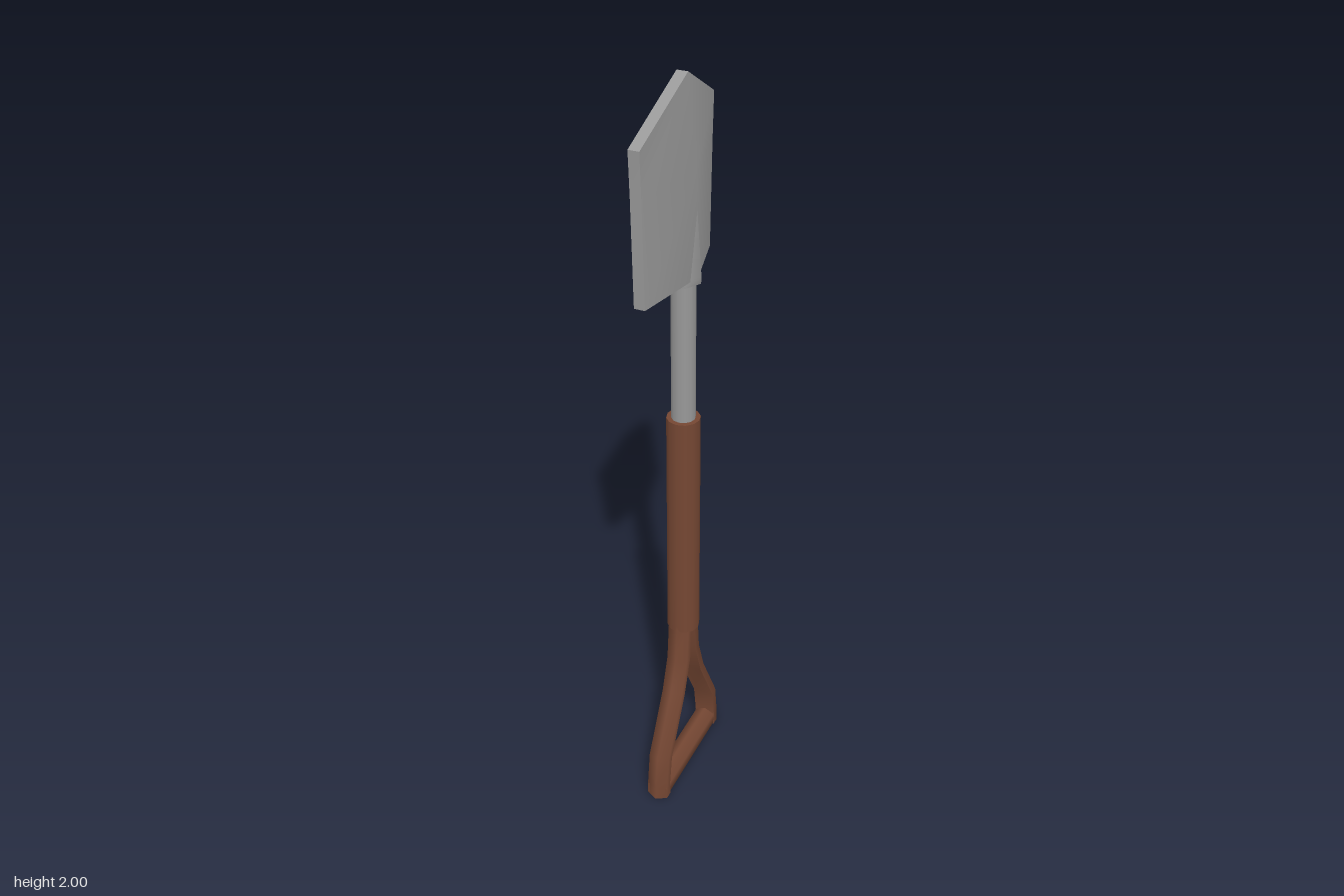
import * as THREE from 'three';
import { toCreasedNormals } from 'three/addons/utils/BufferGeometryUtils.js';

const steel = new THREE.MeshStandardMaterial({ color: 0x989898 });
const wood = new THREE.MeshStandardMaterial({ color: 0x754733 });

// Solid through rings listed bottom to top, each counterclockwise from above
function loft(rings, crease) {
  const pos = [];
  const tri = (...pts) => pts.forEach((p) => pos.push(...p));
  const n = rings[0].length;
  for (let r = 0; r < rings.length - 1; r++) {
    for (let i = 0; i < n; i++) {
      const j = (i + 1) % n, lo = rings[r], hi = rings[r + 1];
      tri(lo[i], lo[j], hi[j]);
      tri(lo[i], hi[j], hi[i]);
    }
  }
  const bottom = rings[0], top = rings[rings.length - 1];
  for (let i = 1; i < n - 1; i++) {
    tri(top[0], top[i], top[i + 1]);
    tri(bottom[0], bottom[i + 1], bottom[i]);
  }
  const g = new THREE.BufferGeometry();
  g.setAttribute('position', new THREE.Float32BufferAttribute(pos, 3));
  return toCreasedNormals(g, crease);
}

export function createModel() {
  const group = new THREE.Group();
  const add = (name, geometry, material) => {
    const mesh = new THREE.Mesh(geometry, material);
    mesh.name = name;
    group.add(mesh);
    return mesh;
  };
  const rod = (name, radius, y0, y1, material) => {
    const mesh = add(name, new THREE.CylinderGeometry(radius, radius, y1 - y0, 12), material);
    mesh.position.y = (y0 + y1) / 2;
  };

  // Folded blade: [ridge y, side y, ridge x, half width]
  const t = 0.027, sideX = -0.012;
  add('blade', loft([
    [1.523, 1.513, 0.037, 0.178],
    [1.78, 1.78, 0.032, 0.187],
    [2.0, 1.89, 0.011, 0.193],
  ].map(([ry, sy, rx, w]) => [
    [rx - t, ry, 0], [sideX - t, sy, w], [sideX, sy, w],
    [rx, ry, 0], [sideX, sy, -w], [sideX - t, sy, -w],
  ]), 0.7), steel);

  // Socket tapering from the shaft into the ridge of the blade
  const socketRing = (y, r, cx) => Array.from({ length: 6 }, (_, i) => {
    const a = (i * Math.PI) / 3;
    return [cx + r * Math.cos(a), y, -r * Math.sin(a)];
  });
  add('socket', loft([
    socketRing(1.508, 0.044, 0), socketRing(1.525, 0.045, 0), socketRing(1.7, 0.008, 0.025),
  ], 1.1), steel);

  // Straight shaft and wooden sleeve
  rod('shaft', 0.03, 1.1, 1.52, steel);
  rod('handle', 0.042, 0.495, 1.14, wood);

  // Forked arms: [inner z, inner y, outer z, outer y]
  const armPath = [
    [0.148, 0.012, 0.185, 0.012],
    [0.15, 0.05, 0.183, 0.05],
    [0.137, 0.135, 0.17, 0.147],
    [0.053, 0.295, 0.083, 0.312],
    [0.018, 0.395, 0.053, 0.4],
    [0.007, 0.53, 0.04, 0.53],
  ];
  for (const s of [1, -1]) {
    const rings = armPath.map(([iz, iy, oz, oy]) => {
      const mz = iz + (oz - iz) * 0.6, my = iy + (oy - iy) * 0.6;
      const ring = [
        [-0.029, iy, s * iz], [-0.029, my, s * mz], [0, oy, s * oz],
        [0.028, my, s * mz], [0.028, iy, s * iz],
      ];
      return s > 0 ? ring : ring.reverse();
    });
    add(s > 0 ? 'frontArm' : 'backArm', loft(rings, 1.25), wood);
  }

  // Hexagonal cross grip
  const grip = add('grip', new THREE.CylinderGeometry(0.031, 0.031, 0.345, 6), wood);
  grip.rotation.x = Math.PI / 2;
  grip.position.y = 0.033;

  return group;
}
